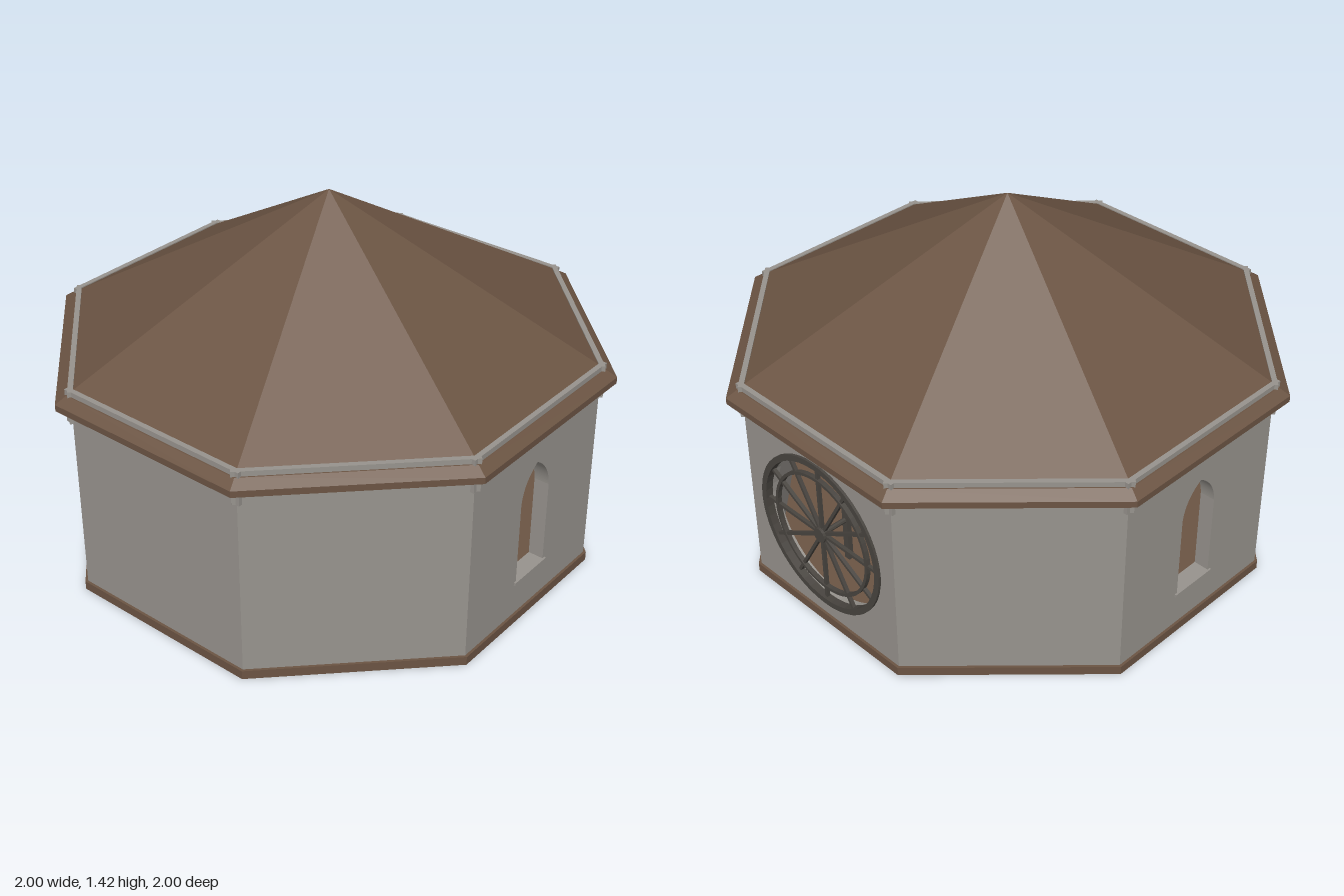
import * as THREE from 'three';

const SIDES = 8;
const PHI = Math.PI / SIDES;
const APO = 0.945; // centre to wall face
const radius = (apothem) => apothem / Math.cos(PHI);

export function createModel() {
  const root = new THREE.Group();
  root.name = 'octagonalHall';

  const mat = (name, color, extra = {}) => {
    const m = new THREE.MeshStandardMaterial({ color, flatShading: true, ...extra });
    m.name = name;
    return m;
  };
  const stone = mat('stoneGrey', 0x97938d);
  const wood = mat('woodBrown', 0x6b5443, { side: THREE.DoubleSide });
  const iron = mat('ironGrey', 0x48443f);

  const add = (parent, name, geo, material, x = 0, y = 0, z = 0) => {
    const mesh = new THREE.Mesh(geo, material);
    mesh.name = name;
    mesh.position.set(x, y, z);
    parent.add(mesh);
    return mesh;
  };
  const extrude = (shape, depth, curveSegments = 12) =>
    new THREE.ExtrudeGeometry(shape, { depth, bevelEnabled: false, curveSegments });
  const ring = (outer, inner, depth) => {
    const s = new THREE.Shape().absarc(0, 0, outer, 0, Math.PI * 2, false);
    s.holes.push(new THREE.Path().absarc(0, 0, inner, 0, Math.PI * 2, true));
    return extrude(s, depth, 24);
  };

  // Floor slab
  const slab = radius(0.955);
  add(root, 'floorSlab', new THREE.CylinderGeometry(slab, slab, 0.035, SIDES, 1, false, PHI), wood, 0, 0.0175, 0);

  // Roof, hollow inside
  add(root, 'roof', new THREE.ConeGeometry(radius(0.945), 0.56, SIDES, 1, true, PHI), wood, 0, 1.14, 0);

  // Eave ring with a sloped upper edge
  const eave = [[0.9, 0.8], [1, 0.8], [1, 0.825], [0.96, 0.85], [0.9, 0.85], [0.9, 0.8]]
    .map(([a, y]) => new THREE.Vector2(radius(a), y));
  add(root, 'eave', new THREE.LatheGeometry(eave, SIDES, PHI), wood);

  // Openings in the walls
  const archPath = () => {
    const p = new THREE.Path();
    p.moveTo(-0.088, 0.18);
    p.lineTo(-0.088, 0.51);
    p.quadraticCurveTo(-0.08, 0.6, 0, 0.65);
    p.quadraticCurveTo(0.08, 0.6, 0.088, 0.51);
    p.lineTo(0.088, 0.18);
    p.closePath();
    return p;
  };
  const ROSE_Y = 0.41;
  const rosePath = () => new THREE.Path().absarc(0, ROSE_Y, 0.31, 0, Math.PI * 2, true);

  // Eight wall panels, each with a top beam crossing its neighbours at the corners
  const half = APO * Math.tan(PHI);
  for (let i = 0; i < SIDES; i++) {
    const side = new THREE.Group();
    side.name = 'wallSide' + i;
    side.rotation.y = i * Math.PI / 4;
    root.add(side);

    const s = new THREE.Shape();
    s.moveTo(-half, 0.03);
    s.lineTo(half, 0.03);
    s.lineTo(half, 0.855);
    s.lineTo(-half, 0.855);
    s.closePath();
    const arched = i === 2 || i === 6;
    if (arched) s.holes.push(archPath());
    if (i === 4) s.holes.push(rosePath());
    add(side, 'wall', extrude(s, 0.06, 24), stone, 0, 0, APO - 0.06);
    add(side, 'topBeam', new THREE.BoxGeometry(0.82, 0.13, 0.02), stone, 0, 0.805, 0.945);
    if (arched) add(side, 'windowSill', new THREE.BoxGeometry(0.2, 0.012, 0.065), stone, 0, 0.174, 0.92);
    if (i === 4) addRose(side);
  }

  // Round window with rings, hub and twelve spokes, and a hanging rod behind it
  function addRose(parent) {
    const rose = new THREE.Group();
    rose.name = 'roundWindow';
    rose.position.set(0, ROSE_Y, 0.925);
    parent.add(rose);
    add(rose, 'outerRim', ring(0.32, 0.296, 0.03), iron);
    add(rose, 'innerRing', ring(0.25, 0.238, 0.018), iron, 0, 0, 0.005);
    const hub = add(rose, 'hub', new THREE.CylinderGeometry(0.03, 0.03, 0.03, 16), iron, 0, 0, 0.014);
    hub.rotation.x = Math.PI / 2;
    for (let k = 0; k < 12; k++) {
      const a = k * Math.PI / 6;
      const spoke = add(rose, 'spoke', new THREE.BoxGeometry(0.29, 0.012, 0.014), iron,
        Math.cos(a) * 0.16, Math.sin(a) * 0.16, 0.012);
      spoke.rotation.z = a;
    }
    const axle = add(rose, 'axle', new THREE.CylinderGeometry(0.01, 0.01, 0.11, 8), iron, 0, 0, -0.045);
    axle.rotation.x = Math.PI / 2;
    add(rose, 'hangingRod', new THREE.BoxGeometry(0.025, 0.42, 0.02), iron, 0, 0.03, -0.1);
  }

  // Small table with objects in the middle of the room
  const table = new THREE.Group();
  table.name = 'table';
  root.add(table);
  add(table, 'tableTop', new THREE.BoxGeometry(0.14, 0.012, 0.14), wood, 0, 0.178, -0.015);
  add(table, 'tableLeg', new THREE.CylinderGeometry(0.025, 0.035, 0.14, 8), wood, 0, 0.104, -0.015);
  add(table, 'jar', new THREE.CylinderGeometry(0.02, 0.026, 0.11, 8), wood, 0, 0.238, 0.003);
  add(table, 'jarLid', new THREE.CylinderGeometry(0.018, 0.018, 0.03, 8), wood, 0, 0.305, 0.003);
  add(table, 'box', new THREE.BoxGeometry(0.04, 0.05, 0.04), wood, 0, 0.233, -0.053);
  add(table, 'boxStand', new THREE.BoxGeometry(0.03, 0.03, 0.03), wood, 0, 0.197, -0.053);
  const stick = add(table, 'stick', new THREE.CylinderGeometry(0.004, 0.004, 0.12, 6), wood, 0, 0.245, -0.026);
  stick.rotation.x = -0.12;

  return root;
}
